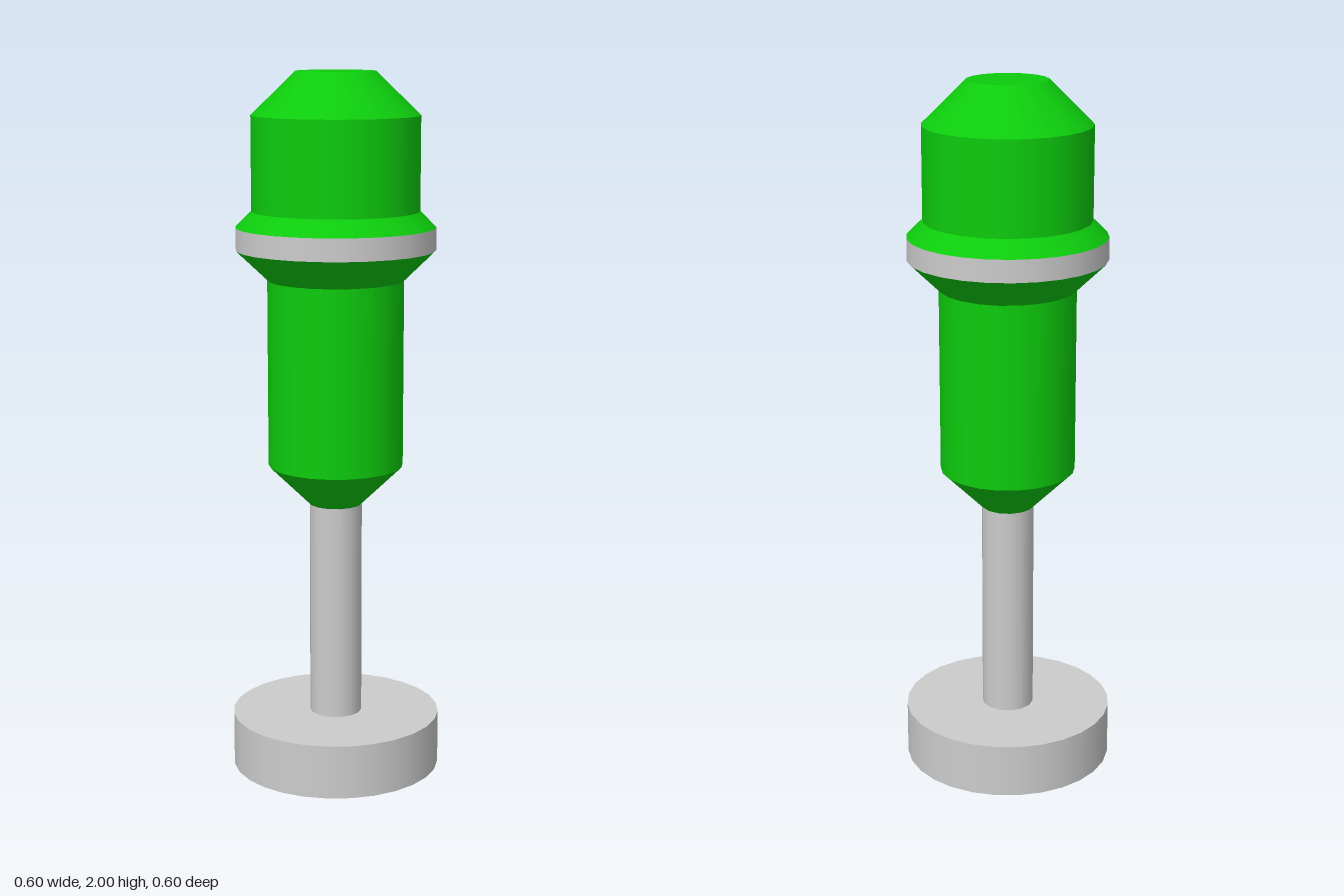
import * as THREE from 'three';

const grey = new THREE.MeshStandardMaterial({ color: 0xcccccc });
grey.name = 'light grey';
const green = new THREE.MeshStandardMaterial({ color: 0x0dcc0d });
green.name = 'bright green';

// Rings of the turned shape: r = radius, y = height, n = number of sides.
const ring = (r, y, n) => ({ r, y, n });

// Smooth conical wall between two rings that may differ in side count.
function wall(name, material, a, b) {
  const pos = [], nor = [], idx = [];
  const slope = new THREE.Vector2(b.y - a.y, a.r - b.r).normalize();
  for (const { r, y, n } of [a, b]) {
    for (let i = 0; i <= n; i++) {
      const t = (i / n) * Math.PI * 2, c = Math.cos(t), s = -Math.sin(t);
      pos.push(r * c, y, r * s);
      nor.push(slope.x * c, slope.y, slope.x * s);
    }
  }
  const top = a.n + 1;
  for (let i = 0, j = 0; i < a.n || j < b.n;) {
    if (j >= b.n || (i < a.n && (i + 1) / a.n <= (j + 1) / b.n)) {
      idx.push(i, i + 1, top + j);
      i++;
    } else {
      idx.push(i, top + j + 1, top + j);
      j++;
    }
  }
  const g = new THREE.BufferGeometry();
  g.setAttribute('position', new THREE.Float32BufferAttribute(pos, 3));
  g.setAttribute('normal', new THREE.Float32BufferAttribute(nor, 3));
  g.setIndex(idx);
  const mesh = new THREE.Mesh(g, material);
  mesh.name = name;
  return mesh;
}

// Flat disc closing a ring, facing up or down.
function cap(name, material, { r, y, n }, up) {
  const g = new THREE.CircleGeometry(r, n).rotateX(up ? -Math.PI / 2 : Math.PI / 2);
  const mesh = new THREE.Mesh(g.translate(0, y, 0), material);
  mesh.name = name;
  return mesh;
}

export function createModel() {
  const model = new THREE.Group();
  model.name = 'post';

  // Round foot
  const footLow = ring(0.3, 0, 28), footHigh = ring(0.3, 0.155, 28);
  model.add(
    cap('footUnderside', grey, footLow, false),
    wall('footRim', grey, footLow, footHigh),
    cap('footTop', grey, footHigh, true),
  );

  // Stem
  const stemTop = ring(0.075, 0.78, 14);
  model.add(wall('stem', grey, ring(0.075, 0.155, 14), stemTop));

  // Body, collar and head, from the bottom up
  const sections = [
    ['bodyTaper', green, ring(0.192, 0.895, 22)],
    ['body', green, ring(0.192, 1.425, 22)],
    ['collarFlare', green, ring(0.28, 1.51, 26)],
    ['collarBand', grey, ring(0.28, 1.573, 26)],
    ['collarShoulder', green, ring(0.235, 1.618, 24)],
    ['head', green, ring(0.235, 1.88, 24)],
    ['headTaper', green, ring(0.1125, 2, 18)],
  ];
  let below = stemTop;
  for (const [name, material, above] of sections) {
    model.add(wall(name, material, below, above));
    below = above;
  }
  model.add(cap('headTop', green, below, true));
  return model;
}
